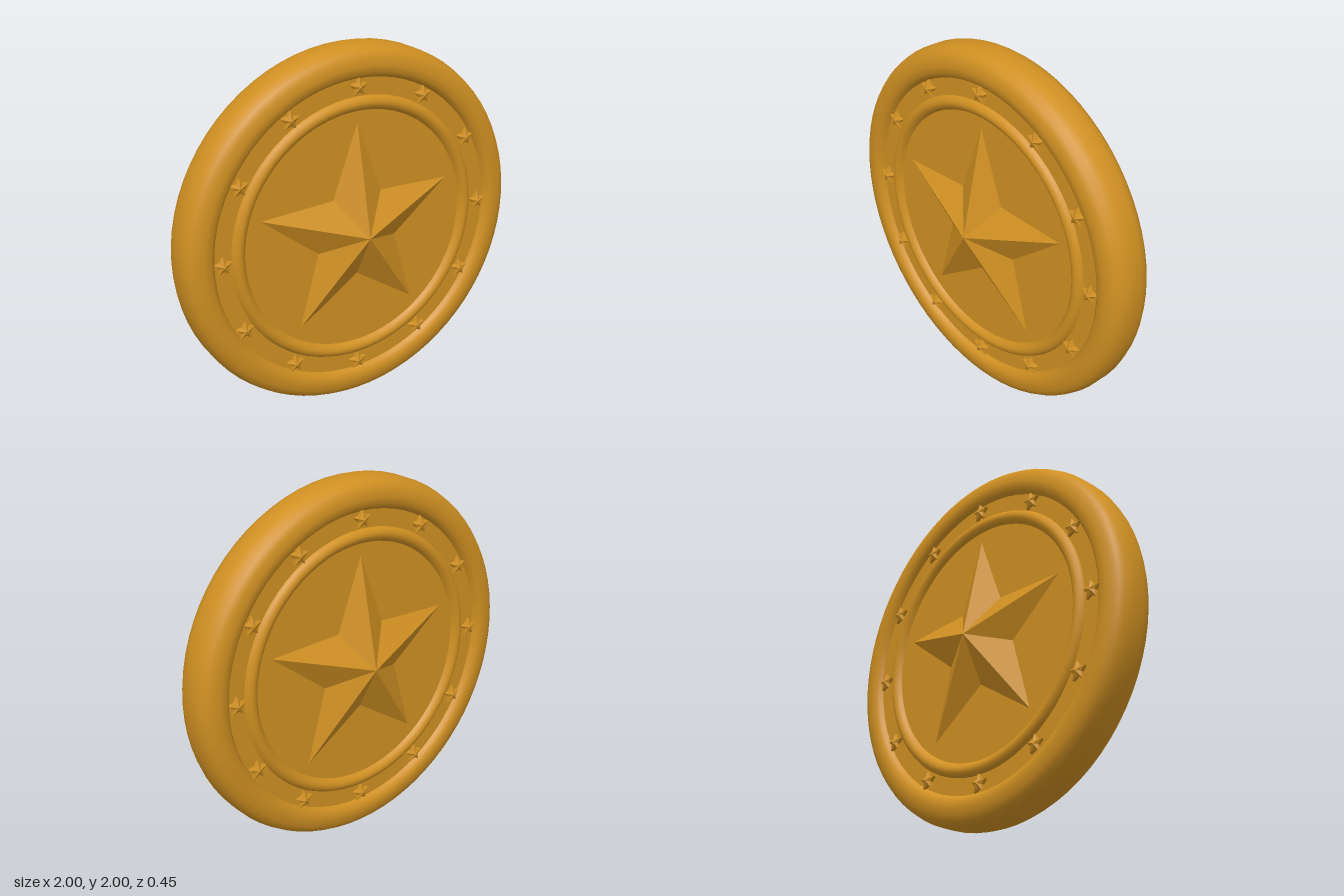
import * as THREE from 'three';
import { toCreasedNormals } from 'three/addons/utils/BufferGeometryUtils.js';

const FLOOR = 0.095; // height of the recessed faces above the mid plane

// Faceted five-pointed star: a raised centre falling to a base outline, with optional side walls
function starGeometry(outer, inner, base, edge, apex) {
  const pos = [];
  const point = (i, z) => {
    const a = Math.PI / 2 + (i * Math.PI) / 5;
    const r = i % 2 ? inner : outer;
    return [r * Math.cos(a), r * Math.sin(a), z];
  };
  for (let i = 0; i < 10; i++) {
    pos.push(0, 0, apex, ...point(i, edge), ...point(i + 1, edge));
    if (edge > base) {
      pos.push(...point(i, edge), ...point(i, base), ...point(i + 1, base));
      pos.push(...point(i, edge), ...point(i + 1, base), ...point(i + 1, edge));
    }
  }
  const geo = new THREE.BufferGeometry();
  geo.setAttribute('position', new THREE.Float32BufferAttribute(pos, 3));
  geo.computeVertexNormals();
  return geo;
}

export function createModel() {
  const model = new THREE.Group();
  model.name = 'starMedallion';
  const gold = new THREE.MeshStandardMaterial({ color: 0xd09022 });
  gold.name = 'gold';
  const add = (parent, name, geo) => {
    const mesh = new THREE.Mesh(geo, gold);
    mesh.name = name;
    parent.add(mesh);
    return mesh;
  };

  // Disc with rounded rim, star channel, inner ring and recessed centre
  const half = [
    [0, FLOOR], [0.665, FLOOR], [0.675, 0.11], [0.69, 0.122], [0.705, 0.125],
    [0.72, 0.122], [0.735, 0.11], [0.742, FLOOR], [0.835, FLOOR], [0.845, 0.112],
    [0.865, 0.128], [0.9, 0.131], [0.94, 0.124], [0.97, 0.108], [0.988, 0.08], [1, 0.04],
  ];
  const profile = [
    ...half.map(([r, z]) => new THREE.Vector2(r, -z)),
    ...half.slice().reverse().map(([r, z]) => new THREE.Vector2(r, z)),
  ];
  const disc = new THREE.LatheGeometry(profile, 72).rotateX(Math.PI / 2);
  add(model, 'disc', toCreasedNormals(disc, 0.6));

  // The same relief on both faces
  const bigStar = starGeometry(0.61, 0.255, FLOOR - 0.002, FLOOR - 0.002, 0.226);
  const smallStar = starGeometry(0.052, 0.027, FLOOR - 0.002, 0.112, 0.127);
  for (const side of ['front', 'back']) {
    const face = new THREE.Group();
    face.name = side + 'Relief';
    if (side === 'back') face.rotation.y = Math.PI;
    add(face, 'centreStar', bigStar);
    for (let i = 0; i < 12; i++) {
      const a = (i * Math.PI) / 6;
      add(face, 'rimStar', smallStar).position.set(0.793 * Math.sin(a), 0.793 * Math.cos(a), 0);
    }
    model.add(face);
  }

  model.children.forEach((part) => { part.position.y = 1; });
  return model;
}
